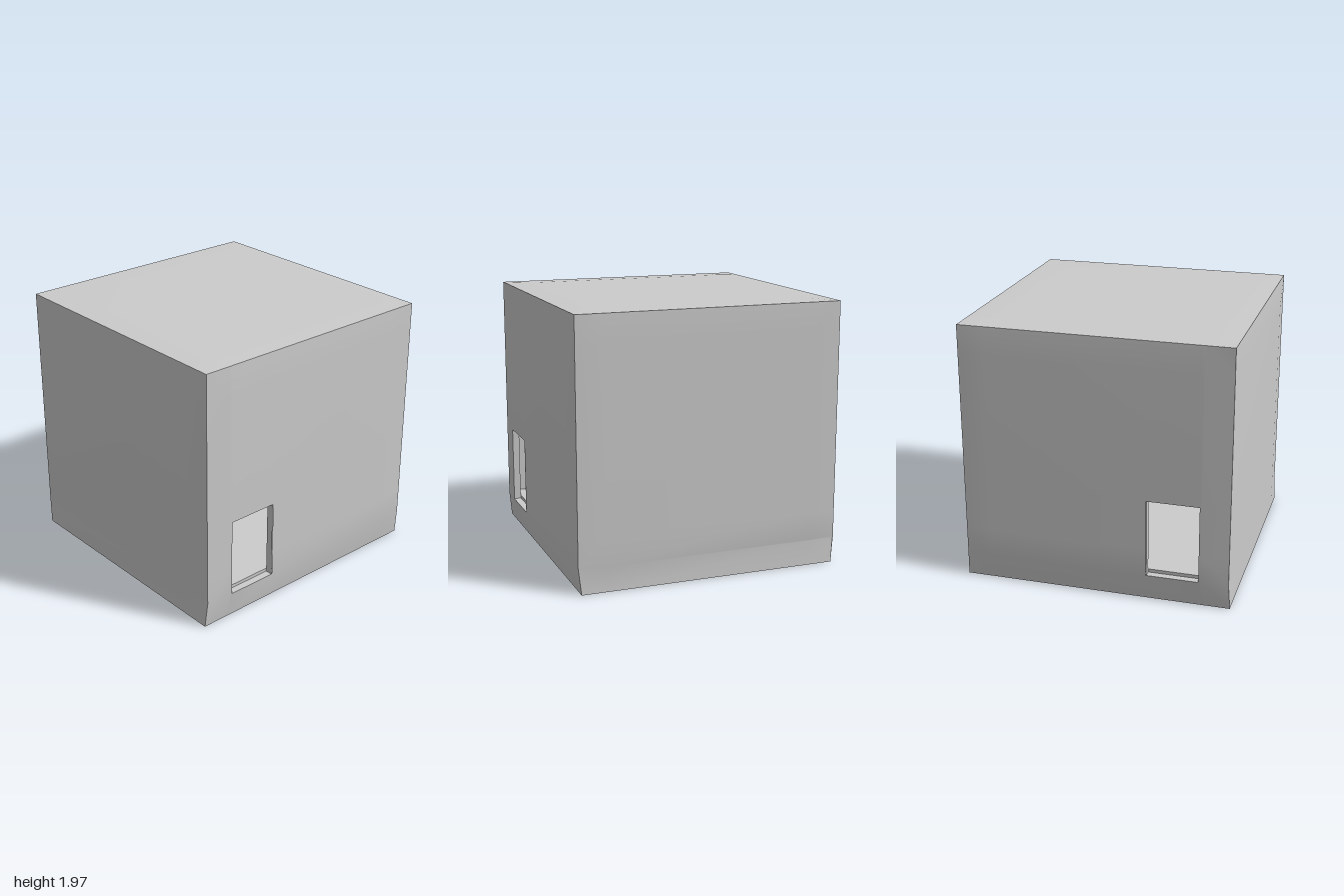
import * as THREE from 'three';

const material = new THREE.MeshStandardMaterial({ color: 0xcccccc, side: THREE.DoubleSide });
const TOP = 1.965, BEND = 0.195, INNER = 0.945, FLOOR = 0.22, CEILING = 1.91;
const WIN = { x0: -0.78, x1: -0.39, y0: 0.195, y1: 0.78 };

// Grid surface over the lines us, vs; place(u, v) gives the point, skip(u, v) leaves out cells
function sheet(name, us, vs, place, { flip = false, skip = () => false } = {}) {
  const pos = [], index = [], n = us.length;
  for (const v of vs) for (const u of us) pos.push(...place(u, v));
  for (let j = 0; j < vs.length - 1; j++) {
    for (let i = 0; i < n - 1; i++) {
      if (skip((us[i] + us[i + 1]) / 2, (vs[j] + vs[j + 1]) / 2)) continue;
      const a = j * n + i, b = a + 1, c = b + n, d = a + n;
      index.push(...(flip ? [a, c, b, a, d, c] : [a, b, c, a, c, d]));
    }
  }
  const g = new THREE.BufferGeometry();
  g.setAttribute('position', new THREE.Float32BufferAttribute(pos, 3));
  g.setIndex(index);
  g.computeVertexNormals();
  const mesh = new THREE.Mesh(g, material);
  mesh.name = name;
  return mesh;
}

const inWindow = (u, v) => u > WIN.x0 && u < WIN.x1 && v > WIN.y0 && v < WIN.y1;

// Pulls the box edges in slightly and tapers the skirt below the floor
function bow([x, y, z]) {
  const k = (t) => Math.max(0, (Math.abs(t) - 0.8) / 0.2);
  const ky = Math.max(0, (y - 1.75) / (TOP - 1.75));
  const skirt = Math.max(0, 1 - y / BEND);
  let px = x * (1 - 0.01 * Math.max(ky, k(z) * (1 - skirt)));
  const py = y > 1.75 ? y - 0.008 * ky * Math.max(k(x), k(z)) : y;
  const pz = z * (1 - 0.01 * Math.max(ky, k(x)) * (1 - skirt) - 0.03 * skirt);
  // The left side steps in under the floor and flares out again
  if (x === 1 && y < BEND) px = 1 - 0.015 * (y / 0.18);
  return [px, py, pz];
}

export function createModel() {
  const model = new THREE.Group();
  model.name = 'hollowBox';
  const across = [-1, -0.8, 0.8, 1];
  const wallX = [-1, -0.8, WIN.x0, WIN.x1, 0.8, 1];
  const wallY = [0, BEND, 0.4, WIN.y1, 1.75, TOP];
  const sideY = [0, 0.18, BEND, 0.4, 1.75, TOP];
  const innerX = [-INNER, WIN.x0, WIN.x1, INNER];
  const innerY = [FLOOR, WIN.y1, CEILING];

  // Front and back walls, each with a window, its lining and an inner face
  for (const s of [1, -1]) {
    const label = s > 0 ? 'front' : 'back';
    model.add(sheet(label + 'Wall', wallX, wallY, (u, v) => bow([u, v, s]),
      { flip: s < 0, skip: inWindow }));
    model.add(sheet(label + 'InnerWall', innerX, innerY, (u, v) => [u, v, s * INNER],
      { flip: s > 0, skip: inWindow }));
    const corners = [[WIN.x0, WIN.y0], [WIN.x1, WIN.y0], [WIN.x1, WIN.y1], [WIN.x0, WIN.y1]];
    corners.forEach((p, i) => {
      const q = corners[(i + 1) % 4];
      model.add(sheet(label + 'WindowLining', [0, 1], [INNER, 1], (u, v) =>
        [u ? q[0] : p[0], u ? q[1] : p[1], s * v], { flip: s > 0 }));
    });
  }

  // Side walls
  for (const s of [1, -1]) {
    const label = s > 0 ? 'left' : 'right';
    model.add(sheet(label + 'Wall', across, sideY, (u, v) => bow([s, v, -s * u])));
    model.add(sheet(label + 'InnerWall', [-INNER, INNER], [FLOOR, CEILING],
      (u, v) => [s * INNER, v, -s * u], { flip: true }));
  }

  // Roof and ceiling
  model.add(sheet('roof', across, across, (u, v) => bow([u, TOP, -v])));
  model.add(sheet('ceiling', [-INNER, INNER], [-INNER, INNER], (u, v) => [u, CEILING, -v], { flip: true }));

  // Floor slab and the underside reaching to the skirt
  const floor = new THREE.Mesh(new THREE.BoxGeometry(INNER * 2, FLOOR - 0.193, INNER * 2), material);
  floor.position.y = (FLOOR + 0.193) / 2;
  floor.name = 'floor';
  model.add(floor);
  model.add(sheet('underside', [-0.985, 0.985], [-0.985, 0.985], (u, v) => [u, 0.188, -v], { flip: true }));
  return model;
}
